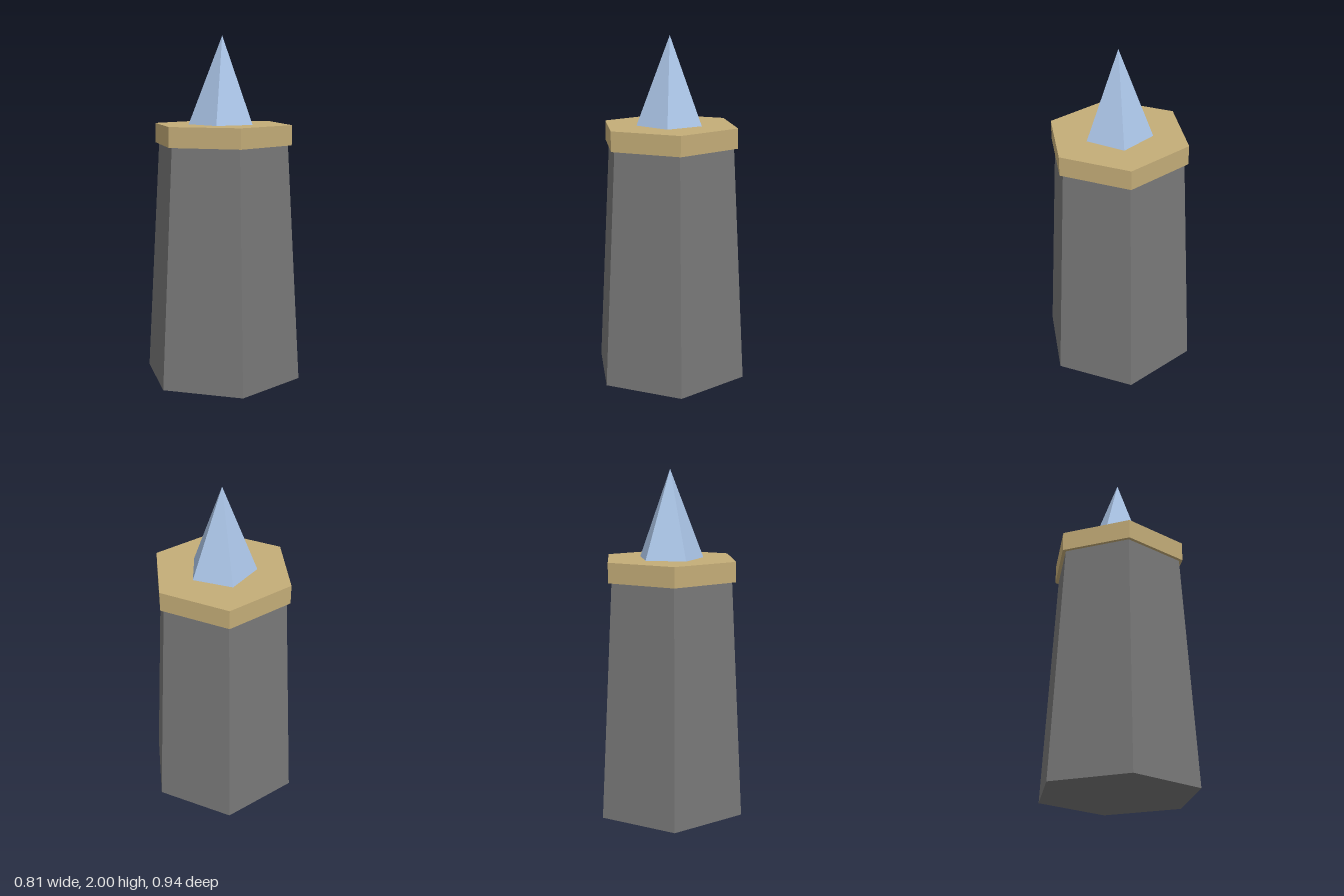
import * as THREE from 'three';

const material = (name, color) => {
  const m = new THREE.MeshStandardMaterial({ color, flatShading: true });
  m.name = name;
  return m;
};

export function createModel() {
  const group = new THREE.Group();
  group.name = 'crystalPillar';

  const stone = material('stone grey', 0x777777);
  const gold = material('pale gold', 0xc4ad78);
  const crystal = material('crystal blue', 0xaac4e6);

  // Adds an upright faceted prism, frustum or spire between two heights
  const addPart = (name, mat, rTop, rBottom, y0, y1, sides, turn = 0) => {
    const geo = new THREE.CylinderGeometry(rTop, rBottom, y1 - y0, sides, 1, false, turn);
    const mesh = new THREE.Mesh(geo, mat);
    mesh.name = name;
    mesh.position.y = (y0 + y1) / 2;
    group.add(mesh);
  };

  // Tapered hexagonal column with a corner facing front
  addPart('column', stone, 0.39, 0.47, 0, 1.38, 6);
  // Overhanging hexagonal cap
  addPart('cap', gold, 0.412, 0.412, 1.38, 1.495, 6);
  // Five-sided spire with a flat side facing front
  addPart('crystalSpire', crystal, 0, 0.196, 1.495, 2, 5, Math.PI);

  return group;
}
